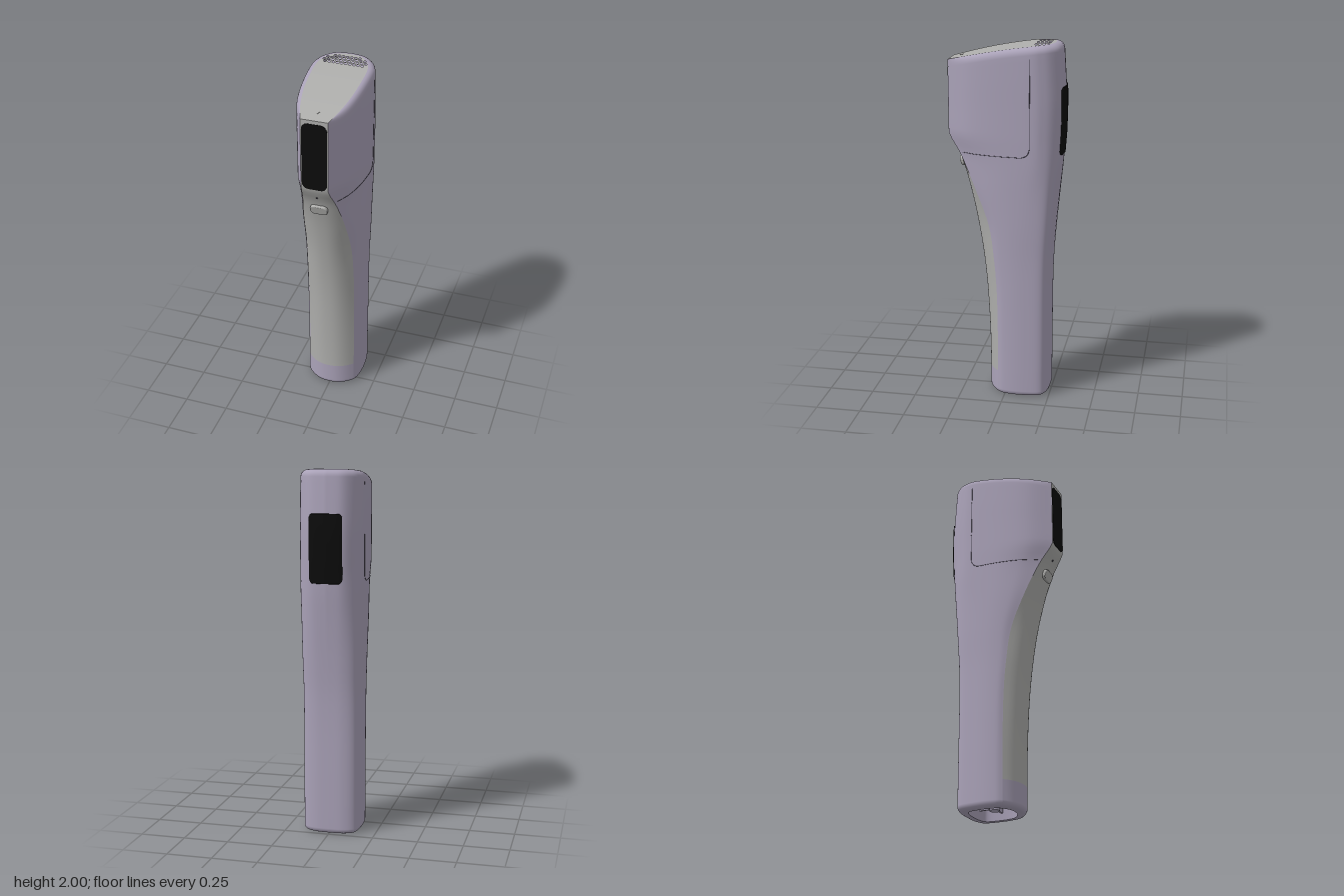
import * as THREE from 'three';

const shellMat = new THREE.MeshStandardMaterial({ color: 0xaaa2b8, side: THREE.DoubleSide });
const greyMat = new THREE.MeshStandardMaterial({ color: 0xadadab, side: THREE.DoubleSide });
const blackMat = new THREE.MeshStandardMaterial({ color: 0x0c0c0c, side: THREE.DoubleSide });
const seamMat = new THREE.MeshStandardMaterial({ color: 0x4a4654 });

// Key heights: y, front z, back z, half width, panel edge x, panel edge z, head blend
const KEYS = [
  [0, 0.1, -0.245, 0.16, 0.135, 0.04, 0],
  [0.3, 0.103, -0.245, 0.16, 0.135, 0.04, 0],
  [0.6, 0.118, -0.245, 0.16, 0.135, 0.045, 0],
  [0.8, 0.138, -0.25, 0.161, 0.135, 0.06, 0.05],
  [1.0, 0.17, -0.265, 0.166, 0.13, 0.09, 0.2],
  [1.2, 0.212, -0.285, 0.17, 0.117, 0.165, 0.5],
  [1.33, 0.247, -0.299, 0.173, 0.1, 0.223, 0.8],
  [1.4, 0.27, -0.305, 0.174, 0.088, 0.258, 0.92],
  [1.49, 0.317, -0.312, 0.175, 0.074, 0.315, 1],
  [1.53, 0.32, -0.314, 0.175, 0.073, 0.32, 1],
  [1.7, 0.32, -0.316, 0.175, 0.073, 0.32, 1],
  [1.85, 0.32, -0.309, 0.175, 0.073, 0.32, 1],
  [2.0, 0.32, -0.3, 0.174, 0.073, 0.32, 1],
];
// Side outline from panel edge to back centre: depth fraction, width fraction
const HANDLE = [[0, 0.84], [0.105, 0.94], [0.316, 1], [0.56, 1], [0.82, 0.94], [0.93, 0.78], [0.99, 0.44], [1, 0]];
const HEAD = [[0, 0.42], [0.19, 0.77], [0.425, 0.943], [0.724, 1], [0.843, 0.914], [0.921, 0.743], [0.98, 0.457], [1, 0]];
const F = 8, S = 42; // segments across half the front strip and along one side

// Smooth interpolation of the key table
function paramsAt(y) {
  let i = 0;
  while (i < KEYS.length - 2 && y > KEYS[i + 1][0]) i++;
  const a = KEYS[i], b = KEYS[i + 1], p = KEYS[i - 1] || a, n = KEYS[i + 2] || b;
  const h = b[0] - a[0], t = (y - a[0]) / h;
  return a.map((v, c) => {
    const m0 = (b[c] - p[c]) / (b[0] - p[0]) * h, m1 = (n[c] - v) / (n[0] - a[0]) * h;
    return v * (1 + 2 * t) * (1 - t) ** 2 + m0 * t * (1 - t) ** 2 + b[c] * t * t * (3 - 2 * t) + m1 * t * t * (t - 1);
  });
}

// Half outline from front centre, round +x, to back centre as Vector2(x, z)
function section([, zf, zb, w, px, pz, k]) {
  const pts = [];
  for (let i = 0; i < F; i++) {
    const s = i / F;
    pts.push(new THREE.Vector2(px * s, zf - (zf - pz) * s ** 2.4));
  }
  const side = HANDLE.map((h, i) => {
    const u = THREE.MathUtils.lerp(h[0], HEAD[i][0], k), x = THREE.MathUtils.lerp(h[1], HEAD[i][1], k);
    return new THREE.Vector2(i ? x * w : px, pz + (zb - pz) * u);
  });
  const curve = new THREE.SplineCurve(side);
  return pts.concat(curve.getPoints(S));
}

const topY = z => 1.9 + 0.1 * (1 - Math.max(0, 1 - (0.32 - z) / 0.62) ** 1.6);

// Rows of points, lower row first, into a smooth surface
function loft(name, rows, mat) {
  const n = rows[0].length, pos = [], idx = [];
  rows.forEach(r => r.forEach(p => pos.push(p.x, p.y, p.z)));
  for (let i = 0; i < rows.length - 1; i++) for (let j = 0; j < n - 1; j++) {
    const a = i * n + j, c = a + n;
    idx.push(a, a + 1, c, a + 1, c + 1, c);
  }
  const g = new THREE.BufferGeometry();
  g.setAttribute('position', new THREE.Float32BufferAttribute(pos, 3));
  g.setIndex(idx);
  g.computeVertexNormals();
  return mesh(name, g, mat);
}

function mesh(name, geo, mat, x = 0, y = 0, z = 0) {
  const m = new THREE.Mesh(geo, mat);
  m.name = name;
  m.position.set(x, y, z);
  return m;
}

// Half outline lifted to 3D, then split into front strip and wrap-around shell
const lift = (half, yOf) => half.map(p => new THREE.Vector3(p.x, yOf(p.y), p.y));
const flip = p => new THREE.Vector3(-p.x, p.y, p.z);
const strip = h => [...h.slice(1, F + 1).reverse().map(flip), ...h.slice(0, F + 1)];
const wrap = h => [...h.slice(F), ...h.slice(F, -1).reverse().map(flip)];
const ring = h => [...h, ...h.slice(0, -1).reverse().map(flip)];

function roundedRect(w, h, r) {
  const s = new THREE.Shape();
  s.absarc(w - r, h - r, r, 0, Math.PI / 2);
  s.absarc(r - w, h - r, r, Math.PI / 2, Math.PI);
  s.absarc(r - w, r - h, r, Math.PI, Math.PI * 1.5);
  s.absarc(w - r, r - h, r, Math.PI * 1.5, Math.PI * 2);
  return s;
}

// Interpolated side or back surface: find value of axis b where axis a crosses v
function cross(y, a, b, v) {
  const pts = section(paramsAt(y));
  for (let i = pts.length - 1; i > F; i--) {
    const p = pts[i], q = pts[i - 1];
    if ((p[a] - v) * (q[a] - v) <= 0 && p[a] !== q[a]) return p[b] + (q[b] - p[b]) * (v - p[a]) / (q[a] - p[a]);
  }
  return pts[F][b];
}

export function createModel() {
  const model = new THREE.Group();
  const scaled = (y, k) => lift(section(paramsAt(0)).map(p => new THREE.Vector2(p.x * k, (p.y + 0.07) * k - 0.07)), () => y);

  // Body rows: rounded foot, handle, head up to the sloped top, soft top edge
  const low = [], high = [];
  for (let i = 0; i <= 6; i++) {
    const a = i / 6 * Math.PI / 2;
    low.push(scaled(0.03 * (1 - Math.cos(a)), 0.84 + 0.16 * Math.sin(a)));
  }
  low.push(lift(section(paramsAt(0.14)), () => 0.14));
  for (let i = 0; i <= 44; i++) {
    const y = 0.14 + 1.36 * i / 44;
    high.push(lift(section(paramsAt(y)), () => y));
  }
  const drop = 0.04;
  for (let i = 1; i <= 14; i++) {
    const f = i / 14;
    high.push(lift(section(paramsAt(1.5 + f * 0.5)), z => 1.5 + f * (topY(z) - drop - 1.5)));
  }
  let topHalf;
  for (let i = 1; i <= 6; i++) {
    const a = i / 6 * Math.PI / 2, q = 1 - Math.cos(a), p = paramsAt(2);
    p[2] += 0.043 * q;
    p[3] -= 0.034 * q;
    topHalf = section(p);
    high.push(lift(topHalf, z => topY(z) - drop * (1 - Math.sin(a))));
  }
  model.add(loft('bodyShell', [...low, ...high.slice(1)].map(wrap), shellMat));
  model.add(loft('frontChin', low.map(strip), shellMat));
  model.add(loft('frontPanel', high.map(strip), greyMat));

  // Recessed socket in the foot
  const socket = new THREE.Group();
  socket.name = 'footSocket';
  socket.add(loft('footRim', [scaled(0, 0.7), scaled(0, 0.84)].map(ring), shellMat));
  socket.add(loft('socketWall', [scaled(0.07, 0.67), scaled(0, 0.7)].map(ring), shellMat));
  socket.add(loft('socketFloor', [scaled(0.07, 0), scaled(0.07, 0.67)].map(ring), shellMat));
  socket.add(mesh('socketPost', new THREE.CylinderGeometry(0.028, 0.028, 0.05, 24), shellMat, 0, 0.045, -0.07));
  for (const s of [-1, 1]) {
    socket.add(mesh('socketRib', new THREE.BoxGeometry(0.06, 0.04, 0.012), shellMat, s * 0.055, 0.05, -0.07));
    socket.add(mesh('socketRib', new THREE.BoxGeometry(0.012, 0.04, 0.06), shellMat, 0, 0.05, -0.07 + s * 0.06));
  }
  model.add(socket);

  // Sloped top plate, split from the grille behind it
  let K = F;
  while (topHalf[K].y > -0.14) K++;
  const plateRows = topHalf.slice(F, K + 1).map(p =>
    [-1, -0.5, 0, 0.5, 1].map(s => new THREE.Vector3(p.x * s, topY(p.y), p.y)));
  model.add(loft('topPlate', plateRows, greyMat));

  // Perforated grille with a tray below the holes
  const back = topHalf.slice(K);
  const grilleShape = () => new THREE.Shape([
    ...back.map(p => new THREE.Vector2(p.x, -p.y)),
    ...back.slice(0, -1).reverse().map(p => new THREE.Vector2(-p.x, -p.y))]);
  const drape = (shape, dy) => {
    const g = new THREE.ShapeGeometry(shape, 6).rotateX(-Math.PI / 2), p = g.attributes.position;
    for (let i = 0; i < p.count; i++) p.setY(i, topY(p.getZ(i)) + dy);
    g.computeVertexNormals();
    return g;
  };
  const grille = grilleShape();
  [[-0.223, 7], [-0.201, 10], [-0.178, 11], [-0.156, 10]].forEach(([z, n]) => {
    for (let i = 0; i < n; i++) {
      const hole = new THREE.Path();
      hole.absarc((i - (n - 1) / 2) * 0.0225, -z, 0.0078, 0, Math.PI * 2, true);
      grille.holes.push(hole);
    }
  });
  model.add(mesh('grille', drape(grille, 0), greyMat));
  model.add(mesh('grilleTray', drape(grilleShape(), -0.025), shellMat));

  // Black front window
  const windowGeo = new THREE.ExtrudeGeometry(roundedRect(0.068, 0.19, 0.035), { depth: 0.006, bevelEnabled: false, curveSegments: 10 });
  model.add(mesh('frontWindow', windowGeo, blackMat, 0, 1.69, 0.316));

  // Black back window, following the curved shell with rounded corners
  const rows = [], r = 0.025, y0 = 1.4, y1 = 1.77;
  for (let i = 0; i <= 32; i++) {
    const y = y0 + (y1 - y0) * (1 - Math.cos(i / 32 * Math.PI)) / 2;
    const d = Math.max(0, r - Math.min(y - y0, y1 - y));
    const hw = 0.09 - r + Math.sqrt(r * r - d * d), row = [];
    for (let j = -9; j <= 9; j++) {
      const rim = Math.abs(j) === 9 || i === 0 || i === 32;
      const x = -hw * THREE.MathUtils.clamp(j / 8, -1, 1);
      row.push(new THREE.Vector3(x, y, cross(y, 'x', 'y', Math.abs(x)) + (rim ? 0.004 : -0.005)));
    }
    rows.push(row);
  }
  model.add(loft('backWindow', rows, blackMat));

  // Button, indicator dots and arrow
  const buttonGeo = new THREE.ExtrudeGeometry(roundedRect(0.042, 0.024, 0.018),
    { depth: 0.014, bevelThickness: 0.005, bevelSize: 0.005, bevelSegments: 3, curveSegments: 8 });
  const button = mesh('button', buttonGeo, greyMat, 0, 1.34, 0.245);
  button.rotation.x = 0.3;
  model.add(button);
  const dot = mesh('indicatorDot', new THREE.SphereGeometry(0.006, 12, 8), seamMat, 0, 1.43, cross(1.43, 'x', 'y', 9) + 0.008);
  model.add(dot);
  const arrow = mesh('topArrow', new THREE.CylinderGeometry(0.012, 0.012, 0.004, 3), greyMat, 0, topY(0.258), 0.258);
  arrow.rotation.x = 0.25;
  model.add(arrow);

  // Head seam on both sides
  for (const s of [1, -1]) {
    const path = [];
    for (let i = 0; i <= 10; i++) path.push([1.4, 0.24 - 0.033 * i]);
    for (let i = 1; i <= 4; i++) path.push([1.45 - 0.05 * Math.cos(i * Math.PI / 8), -0.09 - 0.05 * Math.sin(i * Math.PI / 8)]);
    for (let i = 1; i <= 8; i++) path.push([1.45 + 0.06 * i, -0.14]);
    const pts = path.map(([y, z]) => new THREE.Vector3(s * cross(y, 'y', 'x', z), y, z));
    model.add(mesh('headSeam', new THREE.TubeGeometry(new THREE.CatmullRomCurve3(pts), 60, 0.0015, 6), seamMat));
  }
  return model;
}
